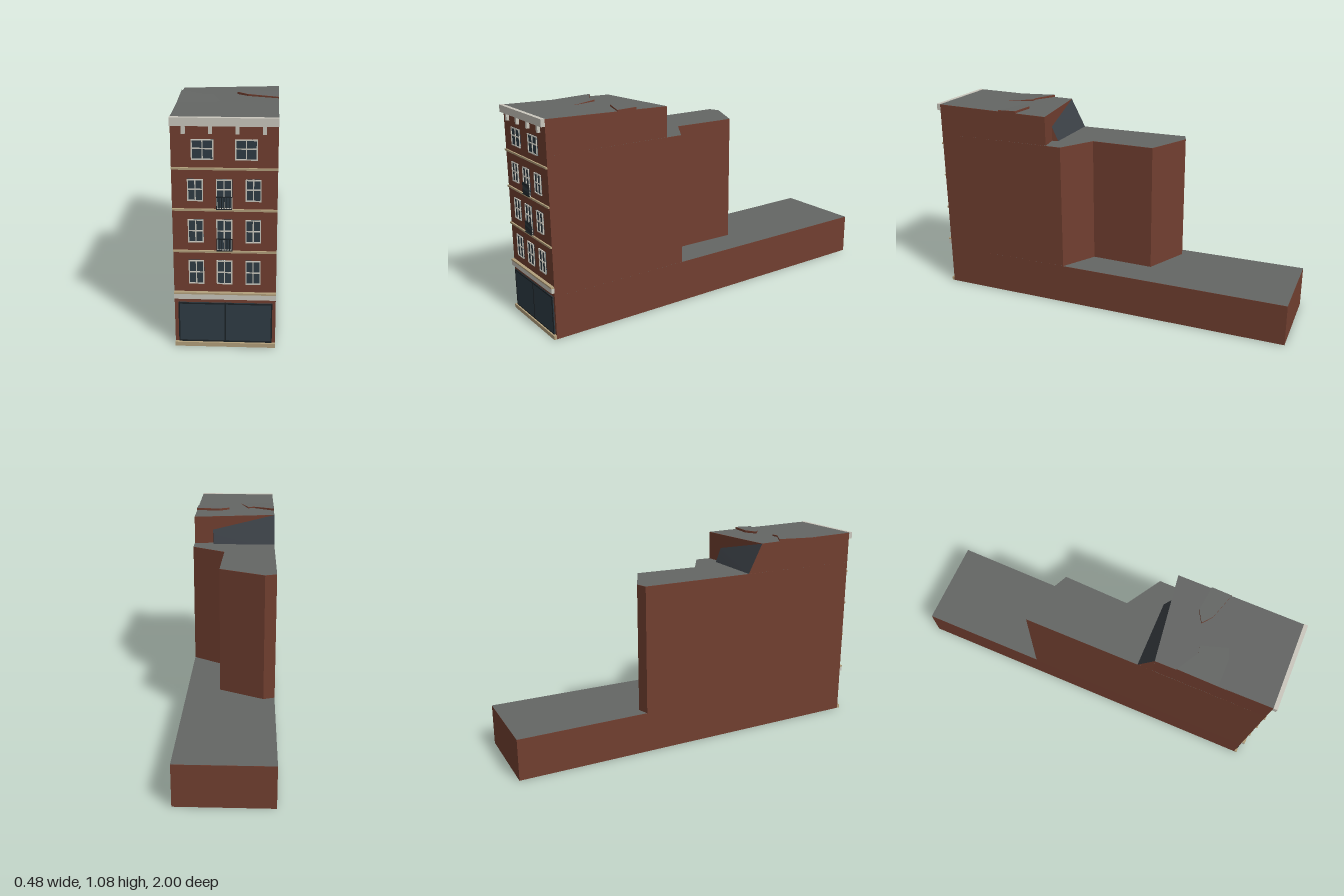
import * as THREE from 'three';

const mat = (color) => new THREE.MeshStandardMaterial({ color });
const BRICK = mat(0x713f30), ROOF = mat(0x646664), GLASS = mat(0x2f3c45), SLATE = mat(0x3b4046);
const CREAM = mat(0xcac7bd), TAN = mat(0xb3a07c), IRON = mat(0x1b2226);
const FACE = 0.98; // z of the street facade

export function createModel() {
  const root = new THREE.Group();
  root.name = 'townhouse';

  const add = (name, geometry, material, parent = root) => {
    const mesh = new THREE.Mesh(geometry, material);
    mesh.name = name;
    parent.add(mesh);
    return mesh;
  };

  // Box from x and y ranges, standing out from the facade by d
  const panel = (name, x0, x1, y0, y1, d, material, parent = root) => {
    const mesh = add(name, new THREE.BoxGeometry(x1 - x0, y1 - y0, d), material, parent);
    mesh.position.set((x0 + x1) / 2, (y0 + y1) / 2, FACE + d / 2);
    return mesh;
  };

  // Brick storey block on an [x, z] footprint with a roof skin; top(z) gives its height
  const block = (name, footprint, y0, top) => {
    const shape = new THREE.Shape(footprint.map(([x, z]) => new THREE.Vector2(x, -z)));
    const walls = new THREE.ExtrudeGeometry(shape, { depth: 1, bevelEnabled: false });
    const skin = new THREE.ShapeGeometry(shape);
    walls.rotateX(-Math.PI / 2);
    skin.rotateX(-Math.PI / 2);
    const w = walls.attributes.position, s = skin.attributes.position;
    for (let i = 0; i < w.count; i++) w.setY(i, w.getY(i) > 0.5 ? top(w.getZ(i)) : y0);
    for (let i = 0; i < s.count; i++) s.setY(i, top(s.getZ(i)) + 0.001);
    walls.computeVertexNormals();
    skin.computeVertexNormals();
    add(name + 'Walls', walls, BRICK);
    add(name + 'Roof', skin, ROOF);
  };

  // Stepped masses: ground floor, middle storeys, top storey
  const roofY = (z) => 1.06 + 0.013 * (z - 0.33) / 0.65;
  block('groundFloor', [[-0.232, FACE], [0.22, FACE], [0.24, -1], [-0.243, -1]], 0, () => 0.22);
  block('middleStoreys', [[-0.232, FACE], [0.22, FACE], [0.227, 0.245], [0.045, 0.135],
    [0.055, -0.21], [-0.18, -0.32], [-0.24, -0.3]], 0.22, () => 0.904);
  block('topStorey', [[-0.232, FACE], [0.22, FACE], [0.225, 0.33], [-0.235, 0.39]], 0.904, roofY);

  // Shallow raised patches on the top roof
  block('leftRoofPatch', [[-0.234, 0.76], [-0.035, 0.69], [-0.08, 0.56], [-0.12, 0.565], [-0.235, 0.5]],
    1.055, (z) => 1.076 - 0.04 * (z - 0.5));
  block('rightRoofPatch', [[0.223, 0.61], [0.224, 0.505], [0.09, 0.49], [0.03, 0.525], [0.08, 0.565]],
    1.055, (z) => 1.076 - 0.03 * (z - 0.5));

  // Sloping slate lean-to behind the top storey, with brick ends
  const polygon = (points) => {
    const g = new THREE.BufferGeometry();
    g.setAttribute('position', new THREE.Float32BufferAttribute(points.flat(), 3));
    g.setIndex(points.length === 4 ? [0, 1, 2, 0, 2, 3] : [0, 1, 2]);
    g.computeVertexNormals();
    return g;
  };
  const A = [-0.236, 0.905, 0.31], B = [0.115, 0.905, 0.31], C = [0.12, 0.985, 0.345], D = [-0.235, 1.061, 0.39];
  add('leanToSlope', polygon([A, D, C, B]), SLATE);
  add('leanToLeftEnd', polygon([[-0.236, 0.905, 0.39], D, A]), BRICK);
  add('leanToRightEnd', polygon([[0.12, 0.905, 0.345], B, C]), BRICK);

  // Cornice with brackets
  panel('cornice', -0.233, 0.221, 1.04, 1.076, 0.02, CREAM);
  for (const x of [-0.177, -0.064, 0.05, 0.162]) panel('corniceBracket', x - 0.008, x + 0.008, 1.005, 1.04, 0.014, CREAM);

  // String courses, fascia and plinth
  for (const y of [0.465, 0.66, 0.846]) panel('stringCourse', -0.232, 0.22, y, y + 0.009, 0.008, TAN);
  panel('fascia', -0.232, 0.22, 0.24, 0.265, 0.014, CREAM);
  panel('fasciaCap', -0.232, 0.22, 0.265, 0.273, 0.016, TAN);
  panel('plinth', -0.232, 0.22, 0, 0.02, 0.014, TAN);

  // Shop window: glass with dark frame and centre post
  const shop = new THREE.Group();
  shop.name = 'shopFront';
  root.add(shop);
  panel('shopGlass', -0.215, 0.205, 0.022, 0.218, 0.004, GLASS, shop);
  for (const x of [-0.215, -0.008, 0.199]) panel('shopPost', x, x + 0.006, 0.022, 0.218, 0.008, IRON, shop);
  for (const y of [0.022, 0.212]) panel('shopRail', -0.215, 0.205, y, y + 0.006, 0.008, IRON, shop);

  // Sash window: glass, outer frame, mullion and transom at yMid
  const sash = (x0, x1, y0, y1, yMid) => {
    const g = new THREE.Group(), t = 0.005, xm = (x0 + x1) / 2;
    g.name = 'window';
    root.add(g);
    panel('glass', x0, x1, y0, y1, 0.003, GLASS, g);
    for (const x of [x0, xm - t / 2, x1 - t]) panel('frameUpright', x, x + t, y0, y1, 0.007, CREAM, g);
    for (const y of [y0, yMid - t / 2, y1 - t]) panel('frameRail', x0, x1, y, y + t, 0.007, CREAM, g);
  };

  // Small iron balcony railing
  const railing = (x0, x1, y0, y1) => {
    const g = new THREE.Group(), t = 0.003, n = 6;
    g.name = 'balconyRailing';
    root.add(g);
    for (let i = 0; i <= n; i++) {
      const x = x0 + (x1 - x0 - t) * i / n;
      panel('railingBar', x, x + t, y0, y1, 0.011, IRON, g);
    }
    for (const y of [y0, y1 - t]) panel('railingRail', x0, x1, y, y + t, 0.012, IRON, g);
  };

  // Three windows per floor; the upper two floors have a tall middle one with a railing
  const columns = [[-0.165, -0.097], [-0.042, 0.027], [0.084, 0.151]];
  const floors = [
    { y0: 0.313, y1: 0.427, mid: 0.37 },
    { y0: 0.513, y1: 0.62, mid: 0.568, sill: 0.475 },
    { y0: 0.705, y1: 0.804, mid: 0.758, sill: 0.669 },
  ];
  for (const { y0, y1, mid, sill } of floors) {
    columns.forEach(([x0, x1], i) => sash(x0, x1, i === 1 && sill ? sill : y0, y1, mid));
    if (sill) railing(-0.042, 0.027, sill, sill + 0.058);
  }

  // Two wide windows on the top floor
  for (const x of [-0.146, 0.039]) sash(x, x + 0.095, 0.89, 0.98, 0.94);

  return root;
}
